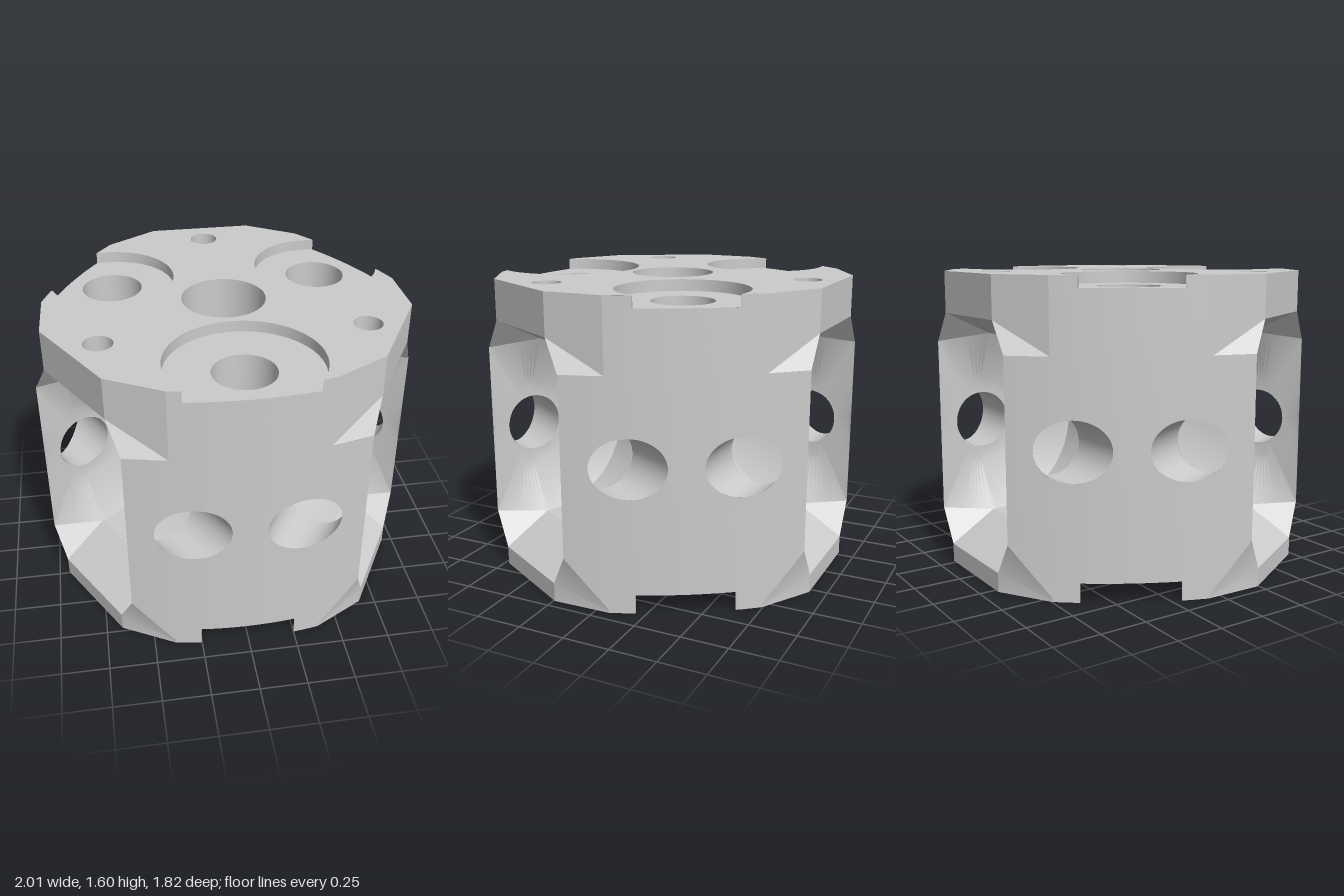
import * as THREE from 'three';
import { toCreasedNormals } from 'three/addons/utils/BufferGeometryUtils.js';

const material = new THREE.MeshStandardMaterial({ color: 0xcccccc, side: THREE.DoubleSide });
const H = 1.6, MID = 0.76;                 // block height, axle height
const AXLE = 0.68, OPEN = 0.93;            // distance of axle and pocket opening from the centre
const R = 0.5, HALF = 0.28, WALL = 0.395;  // pocket radius, half widths
const BORE = 0.155, CORE = 0.22;           // cross bore and central bore radii
const SEAT_Z = 0.65;
const WIDE = { radius: 0.39, notch: 0.322 }, NARROW = { radius: 0.335, notch: 0.255 };
const TOP = { y: H, floorY: 1.54, seats: [WIDE, NARROW, NARROW] };
const BOTTOM = { y: 0, floorY: 0.1, seats: [NARROW, NARROW, NARROW] };
const C30 = Math.cos(Math.PI / 6), THIRD = Math.PI * 2 / 3;

// outer face of the block between two pockets
const face = (x) => 0.89 - 0.22 * x * x;
// point in the frame of a pocket: r outwards, s sideways
const pocketPoint = (r, s, y) => [C30 * r - 0.5 * s, y, 0.5 * r + C30 * s];

// surface through successive loops of points
function loft(loops, closed = false, skip = null) {
  const n = loops[0].length, index = [], pos = loops.flat();
  for (let i = 0; i < loops.length - 1; i++) {
    for (let j = 0; j < (closed ? n : n - 1); j++) {
      const k = (j + 1) % n;
      const a = i * n + j, b = i * n + k, c = a + n, d = b + n;
      const mid = [0, 1, 2].map((q) => (pos[a][q] + pos[b][q] + pos[c][q] + pos[d][q]) / 4);
      if (skip && skip(mid)) continue;
      index.push(a, b, d, a, d, c);
    }
  }
  const geo = new THREE.BufferGeometry();
  geo.setAttribute('position', new THREE.Float32BufferAttribute(pos.flat(), 3));
  geo.setIndex(index);
  return toCreasedNormals(geo, 0.5);
}

// split every edge of a polyline into short steps
function subdivide(points, step, closed) {
  const out = [];
  const edges = closed ? points.length : points.length - 1;
  for (let i = 0; i < edges; i++) {
    const a = points[i], b = points[(i + 1) % points.length];
    const count = Math.ceil(Math.hypot(a[0] - b[0], a[1] - b[1]) / step);
    for (let k = 0; k < count; k++) out.push(a.map((v, q) => v + (b[q] - v) * k / count));
  }
  if (!closed) out.push(points[points.length - 1]);
  return out;
}

const add = (group, name, geo) => {
  const mesh = new THREE.Mesh(geo, material);
  mesh.name = name;
  group.add(mesh);
  return mesh;
};

// half of one outer wall with half of the neighbouring pocket
function halfSectorParts(topNotch, bottomNotch) {
  const parts = {};
  // outer wall, spread from the bore to its border
  const border = subdivide([
    [0, BOTTOM.floorY], [bottomNotch, BOTTOM.floorY], [bottomNotch, 0], [0.39, 0], [0.39, 0.02], [0.6075, 0.28],
    [0.6075, 1.22], [0.39, 1.22], [0.39, H], [topNotch, H], [topNotch, TOP.floorY], [0, TOP.floorY],
  ], 0.04, true);
  const cx = 0.283, ex = 0.193;
  const rim = border.map(([x, y]) => {
    const a = Math.atan2((y - MID) / BORE, (x - cx) / ex);
    return [cx + ex * Math.cos(a), MID + BORE * Math.sin(a)];
  });
  const wallLoops = [];
  for (let i = 0; i <= 6; i++) {
    wallLoops.push(border.map(([x, y], j) => {
      const px = rim[j][0] + (x - rim[j][0]) * i / 6;
      return [px, rim[j][1] + (y - rim[j][1]) * i / 6, face(px)];
    }));
  }
  parts.outerWall = loft(wallLoops, true);

  // cross bore from the outer wall to the pocket
  const outerRim = [], innerRim = [];
  for (let i = 0; i < 48; i++) {
    const a = i / 48 * Math.PI * 2;
    const x = cx + ex * Math.cos(a), y = MID + BORE * Math.sin(a), z = face(x);
    outerRim.push([x, y, z]);
    innerRim.push(pocketPoint(C30 * x + 0.5 * z, 0.4, y));
  }
  parts.crossBore = loft([outerRim, innerRim], true);

  // pocket section as [outward offset, height offset, half width]
  const dr = OPEN - AXLE;
  const arc = [];
  for (let i = 0; i <= 48; i++) {
    const a = Math.PI * (0.5 + i / 48);
    arc.push([R * Math.cos(a), R * Math.sin(a), HALF]);
  }
  const top = [dr, 0.62, HALF], bottom = [dr, -0.66, HALF];
  const upper = [dr, 0.46, WALL], lower = [dr, -0.48, WALL];
  const place = ([u, v, s]) => pocketPoint(AXLE + u, s, MID + v);
  const section = [top, ...arc, bottom];
  const barrel = [];
  for (let i = 0; i <= 20; i++) {
    barrel.push(section.map(([u, v]) => {
      // points inside the central bore move out to its surface
      const [x, y, z] = place([u, v, HALF * i / 20]);
      const push = Math.max(1, CORE / Math.hypot(x, z));
      return [x * push, y, z * push];
    }));
  }
  parts.pocketBarrel = loft(barrel, false, ([x, , z]) => Math.hypot(x, z) < CORE);

  // dished side wall of the pocket around the bore
  const outline = [...arc, ...subdivide([arc[48], lower, upper, arc[0]], 0.03, false).slice(1, -1)];
  const ring = (radius) => outline.map(([u, v]) => {
    const l = Math.hypot(u, v);
    return place([u / l * radius, v / l * radius, 0.4]);
  });
  parts.pocketSide = loft([outline.map(place), ring(0.24), ring(BORE)], true);

  // facets cutting the corners of the pocket
  const facet = (a, b, c) => loft([[place(a), place(b)], [place(c), place(c)]]);
  parts.upperPocketFacet = facet(arc[0], upper, top);
  parts.lowerPocketFacet = facet(arc[48], lower, bottom);

  // slab edges above and below the opening
  const edge = (y) => [pocketPoint(OPEN, 0, y), pocketPoint(OPEN, HALF, y)];
  parts.upperEdge = loft([edge(1.38), edge(H)]);
  parts.lowerEdge = loft([edge(0), edge(0.1)]);

  // upright corner faces, each with a sloping facet to the opening corner
  const chamfer = (yEnd, yWall, yOpen, yCorner) => {
    const corner = pocketPoint(OPEN, WALL, yCorner), z = face(0.39);
    return loft([
      [[0.39, yEnd, z], pocketPoint(OPEN, HALF, yEnd)],
      [[0.39, yWall, z], pocketPoint(OPEN, HALF, yOpen)],
      [corner, corner],
    ]);
  };
  parts.upperChamfer = chamfer(H, 1.22, 1.38, 1.22);
  parts.lowerChamfer = chamfer(0, 0.02, 0.1, 0.28);
  return parts;
}

// round seat arc, running inwards from one notch end to the other
function seatArc({ radius, notch }) {
  const a = Math.atan2(face(notch) - SEAT_Z, notch), pts = [];
  for (let i = 0; i <= 40; i++) {
    const t = a - (Math.PI + 2 * a) * i / 40;
    pts.push([radius * Math.cos(t), SEAT_Z + radius * Math.sin(t)]);
  }
  return pts;
}

const toShape = (pts) => new THREE.Shape(pts.map(([x, z]) => new THREE.Vector2(x, z)));
const circle = (x, z, r) => new THREE.Path().absarc(x, z, r, 0, Math.PI * 2, true);
const flat = (shape, y) => new THREE.ShapeGeometry(shape, 20).rotateX(Math.PI / 2).translate(0, y, 0);
const spin = ([x, z], a) => [x * Math.cos(a) + z * Math.sin(a), z * Math.cos(a) - x * Math.sin(a)];

// end face with three notched seats
function endFace(group, name, { y, floorY, seats }, pins) {
  const [px, , pz] = pocketPoint(OPEN, HALF, 0);
  const side = [[px, pz], [0.39, face(0.39)]];
  const outline = [], holes = [circle(0, 0, CORE)];
  // sectors follow each other clockwise
  seats.forEach((seat, k) => {
    const a = -k * THIRD, arc = seatArc(seat);
    const sector = [...side, ...arc, ...side.map(([x, z]) => [-x, z]).reverse()];
    outline.push(...sector.map((p) => spin(p, a)));
    const floorEdge = [];
    for (let i = 1; i < 8; i++) {
      const x = seat.notch * (i / 4 - 1);
      floorEdge.push([x, face(x)]);
    }
    const floor = toShape([...arc, ...floorEdge]);
    floor.holes.push(circle(0, SEAT_Z, 0.16));
    add(group, name + 'SeatFloor', flat(floor, floorY)).rotation.y = a;
    add(group, name + 'SeatRim', loft([y, floorY].map((h) => arc.map(([x, z]) => [x, h, z])))).rotation.y = a;
    if (!pins) return;
    // blind pin holes
    const [x, z] = spin([0, -0.77], a);
    holes.push(circle(x, z, 0.075));
    add(group, 'pinHole', new THREE.CylinderGeometry(0.075, 0.075, 0.2, 24, 1, true)).position.set(x, y - 0.1, z);
    add(group, 'pinHoleFloor', new THREE.CircleGeometry(0.075, 24).rotateX(-Math.PI / 2)).position.set(x, y - 0.2, z);
  });
  const shape = toShape(outline);
  shape.holes.push(...holes);
  add(group, name + 'Face', flat(shape, y));
}

export function createModel() {
  const model = new THREE.Group();
  model.name = 'housingBlock';
  for (let k = 0; k < 3; k++) {
    const sector = new THREE.Group();
    sector.name = 'sector';
    sector.rotation.y = -k * THIRD;
    const parts = halfSectorParts(TOP.seats[k].notch, BOTTOM.seats[k].notch);
    for (const mirror of [1, -1]) {
      for (const [name, geo] of Object.entries(parts)) add(sector, name, geo).scale.x = mirror;
    }
    // vertical bore through the seat
    add(sector, 'verticalBore', new THREE.CylinderGeometry(0.16, 0.16, 1.44, 40, 1, true)).position.set(0, 0.82, SEAT_Z);
    model.add(sector);
  }
  endFace(model, 'top', TOP, true);
  endFace(model, 'bottom', BOTTOM, false);

  // central bore, open where the pockets cut into it
  const rings = [[], [], [], []];
  for (let j = 0; j < 120; j++) {
    const a = j / 120 * Math.PI * 2, x = CORE * Math.cos(a), z = CORE * Math.sin(a);
    const reach = Math.max(C30 * x + 0.5 * z, -C30 * x + 0.5 * z, -z);
    const gap = Math.sqrt(Math.max(0, R * R - (AXLE - reach) ** 2));
    [0, MID - gap, MID + gap, H].forEach((y, i) => rings[i].push([x, y, z]));
  }
  add(model, 'centralBoreLower', loft(rings.slice(0, 2), true));
  add(model, 'centralBoreUpper', loft(rings.slice(2), true));
  add(model, 'centralWeb', new THREE.CircleGeometry(CORE, 40).rotateX(-Math.PI / 2)).position.y = 1.2;

  model.children.forEach((part) => { part.position.z += 0.02; });
  return model;
}
